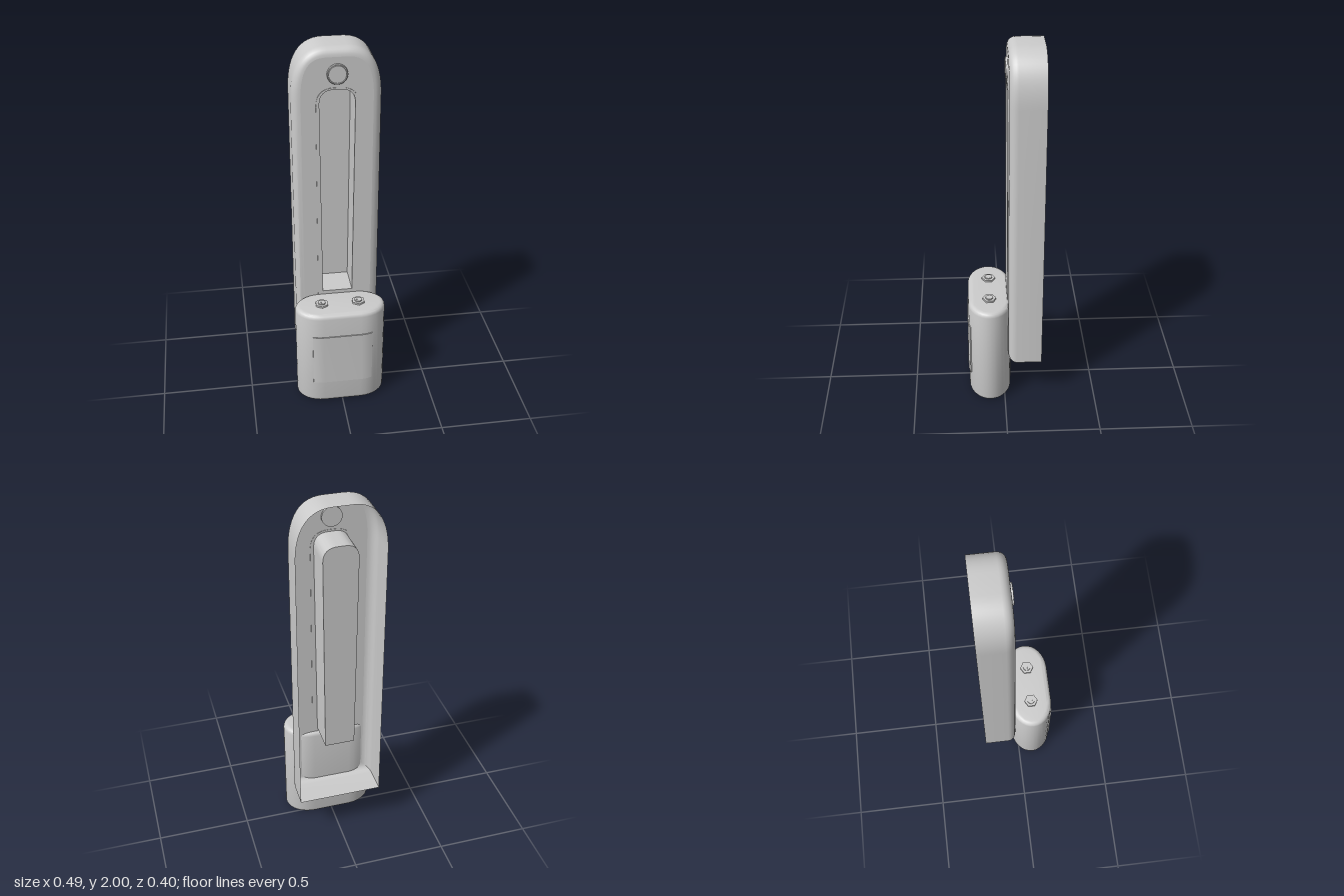
import * as THREE from 'three';
import { toCreasedNormals } from 'three/addons/utils/BufferGeometryUtils.js';

const grey = new THREE.MeshStandardMaterial({ color: 0xcccccc });
const thin = new THREE.MeshStandardMaterial({ color: 0xcccccc, side: THREE.DoubleSide });

function add(parent, name, geometry, material = grey) {
  const mesh = new THREE.Mesh(geometry, material);
  mesh.name = name;
  parent.add(mesh);
  return mesh;
}

// Arched housing outline, moved inwards by d
function housingShape(d) {
  const w = 0.226 - d, top = 2 - d, c = 0.17 - d * 0.7;
  const s = new THREE.Shape();
  s.moveTo(-w, 0.25 + d);
  s.lineTo(w, 0.25 + d);
  s.lineTo(w, 1.74);
  s.bezierCurveTo(w, 1.9, c, top, 0.05, top);
  s.lineTo(-0.05, top);
  s.bezierCurveTo(-c, top, -w, 1.9, -w, 1.74);
  s.closePath();
  return s;
}

// Slot outline: square foot, rounded head
function slotShape(wBottom, wTop, bottom, top, r) {
  const s = new THREE.Shape();
  s.moveTo(-wBottom, bottom);
  s.lineTo(wBottom, bottom);
  s.lineTo(wTop, top - r);
  s.quadraticCurveTo(wTop, top, wTop - r, top);
  s.lineTo(r - wTop, top);
  s.quadraticCurveTo(-wTop, top, -wTop, top - r);
  s.closePath();
  return s;
}

// Skin between outlines, given from back to front as [shape, z]
function loft(sections) {
  const rings = sections.map(([shape, z]) => shape.getPoints(14).map(p => [p.x, p.y, z]));
  const n = rings[0].length, index = [];
  for (let i = 0; i < rings.length - 1; i++) {
    for (let j = 0; j < n - 1; j++) {
      const a = i * n + j, b = a + 1, c = b + n, d = a + n;
      index.push(a, b, c, a, c, d);
    }
  }
  const g = new THREE.BufferGeometry();
  g.setAttribute('position', new THREE.Float32BufferAttribute(rings.flat(2), 3));
  g.setIndex(index);
  return toCreasedNormals(g, 0.6);
}

// Stadium plan of the battery, with its centre at z = 0.08
function ellipseEnd(angle, grow = 0) {
  return [0.1 + (0.145 + grow) * Math.cos(angle), -0.08 + (0.115 + grow) * Math.sin(angle)];
}

function batteryShape() {
  const pts = [];
  for (let i = 0; i <= 16; i++) {
    const [x, y] = ellipseEnd(-Math.PI / 2 + (i / 16) * Math.PI);
    pts.push(new THREE.Vector2(x, y));
  }
  const mirrored = pts.map(p => new THREE.Vector2(-p.x, p.y)).reverse();
  return new THREE.Shape([...pts, ...mirrored]);
}

function createHousing() {
  const g = new THREE.Group();
  g.name = 'housing';
  const front = -0.019, fillet = 0.045;
  const slot = slotShape(0.08, 0.09, 0.61, 1.79, 0.075);

  // Open-backed shell with a rounded front edge
  const sections = [[housingShape(0), -0.2]];
  for (let i = 0; i <= 6; i++) {
    const a = (i / 6) * Math.PI / 2;
    sections.push([housingShape(fillet * (1 - Math.cos(a))), front - fillet + fillet * Math.sin(a)]);
  }
  add(g, 'housingShell', loft(sections), thin);
  const face = housingShape(fillet);
  face.holes.push(slot);
  add(g, 'housingFace', new THREE.ShapeGeometry(face, 14).translate(0, 0, front), thin);

  // Deep pocket behind the slot
  add(g, 'pocketWalls', loft([[slot, -0.183], [slot, -0.016]]), thin);
  add(g, 'pocketBack', new THREE.ShapeGeometry(slot, 14).translate(0, 0, -0.183), thin);

  // Thin trim around the slot
  const trim = slotShape(0.107, 0.107, 0.59, 1.8, 0.095);
  trim.holes.push(slot);
  add(g, 'slotTrim', new THREE.ExtrudeGeometry(trim, { depth: 0.005, bevelEnabled: false, curveSegments: 14 })
    .translate(0, 0, -0.021));

  // Round button with a fine groove
  const profile = [[0, -0.03], [0.052, -0.03], [0.052, -0.01], [0.05, -0.008], [0.046, -0.008],
    [0.045, -0.011], [0.044, -0.008], [0, -0.008]].map(p => new THREE.Vector2(...p));
  const button = add(g, 'button', toCreasedNormals(new THREE.LatheGeometry(profile, 32), 0.5));
  button.rotation.x = Math.PI / 2;
  button.position.y = 1.87;
  return g;
}

function createBattery() {
  const g = new THREE.Group();
  g.name = 'battery';
  const r = 0.025, height = 0.588;
  const body = new THREE.ExtrudeGeometry(batteryShape(), {
    depth: height - 2 * r, bevelThickness: r, bevelSize: r, bevelOffset: -r, bevelSegments: 4,
  });
  body.rotateX(-Math.PI / 2).translate(0, r, 0);
  add(g, 'batteryBody', toCreasedNormals(body, 0.6));

  // Raised panel following the front curve
  const half = [];
  for (let i = 0; i <= 5; i++) {
    const [x, y] = ellipseEnd(-Math.PI / 2 + i * 0.087, 0.005);
    half.push(new THREE.Vector2(x, y));
  }
  half.push(new THREE.Vector2(half[5].x, -0.15));
  const mirrored = half.map(p => new THREE.Vector2(-p.x, p.y)).reverse();
  const panel = new THREE.ExtrudeGeometry(new THREE.Shape([...half, ...mirrored]), { depth: 0.31, bevelEnabled: false });
  panel.rotateX(-Math.PI / 2).translate(0, 0.14, 0);
  add(g, 'frontPanel', toCreasedNormals(panel, 0.5));

  // Hexagonal terminals, each with a cross-slotted screw
  for (const x of [-0.1, 0.1]) {
    const t = new THREE.Group();
    t.name = 'terminal';
    t.position.set(x, height, 0.08);
    add(t, 'terminalNut', new THREE.CylinderGeometry(0.037, 0.037, 0.02, 6).translate(0, 0, 0));
    add(t, 'terminalScrew', new THREE.CylinderGeometry(0.02, 0.021, 0.02, 24).translate(0, 0.006, 0));
    add(t, 'screwCross', new THREE.BoxGeometry(0.022, 0.004, 0.004).translate(0, 0.015, 0));
    add(t, 'screwCross', new THREE.BoxGeometry(0.004, 0.004, 0.022).translate(0, 0.015, 0));
    g.add(t);
  }
  return g;
}

export function createModel() {
  const model = new THREE.Group();
  model.name = 'model';
  model.add(createHousing(), createBattery());
  return model;
}
